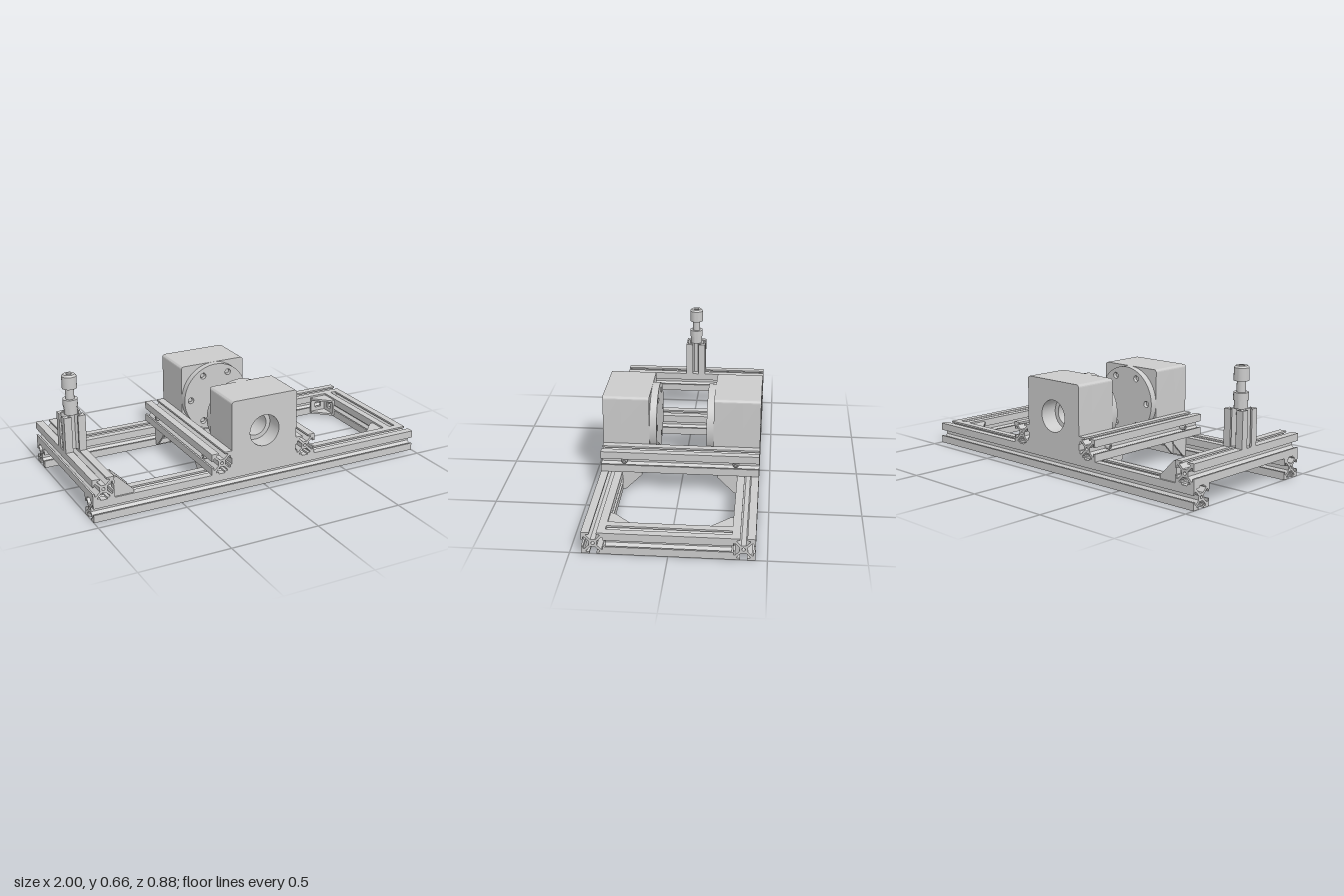
import * as THREE from 'three';
import { toCreasedNormals } from 'three/addons/utils/BufferGeometryUtils.js';

const grey = new THREE.MeshStandardMaterial({ color: 0xcccccc });

function add(parent, name, geometry, x = 0, y = 0, z = 0) {
  const mesh = new THREE.Mesh(geometry, grey);
  mesh.name = name;
  mesh.position.set(x, y, z);
  parent.add(mesh);
  return mesh;
}

function extrude(shape, depth, curveSegments = 20) {
  const g = new THREE.ExtrudeGeometry(shape, { depth, bevelEnabled: false, curveSegments });
  return toCreasedNormals(g, 0.5);
}

function circle(r, x = 0, y = 0) {
  return new THREE.Path().absarc(x, y, r, 0, Math.PI * 2, true);
}

function lathe(points, segments = 32) {
  const g = new THREE.LatheGeometry(points.map(p => new THREE.Vector2(...p)), segments);
  return toCreasedNormals(g, 0.5);
}

// T-slot section: one slotted side, repeated four times around the centre
function slotSection() {
  const half = [[0.06, 0.018], [0.05, 0.018], [0.05, 0.034], [0.043, 0.034], [0.021, 0.012]];
  const side = [[0.06, -0.06], ...half.map(([x, y]) => [x, -y]), ...half.reverse()];
  const points = [];
  for (let i = 0; i < 4; i++) {
    const c = Math.round(Math.cos(i * Math.PI / 2)), s = Math.round(Math.sin(i * Math.PI / 2));
    for (const [x, y] of side) points.push(new THREE.Vector2(c * x - s * y, s * x + c * y));
  }
  const shape = new THREE.Shape(points);
  shape.holes.push(circle(0.009));
  return shape;
}

// Slotted bar centred on its own length, along the given axis
function bar(parent, name, length, axis, x, y, z) {
  const g = extrude(slotSection(), length, 8).translate(0, 0, -length / 2);
  if (axis === 'x') g.rotateY(Math.PI / 2);
  if (axis === 'y') g.rotateX(Math.PI / 2);
  return add(parent, name, g, x, y, z);
}

// Corner bracket: two slotted legs along a and b joined by two gussets
function bracket(parent, corner, a, b) {
  const group = new THREE.Group();
  group.name = 'cornerBracket';
  const leg = 0.11, width = 0.1, t = 0.012;
  const gusset = new THREE.Shape([[0, 0], [leg, 0], [leg, 0.018], [0.018, leg], [0, leg]]
    .map(p => new THREE.Vector2(...p)));
  for (const z of [-width / 2, width / 2 - t]) add(group, 'gusset', extrude(gusset, t), 0, 0, z);

  const plate = new THREE.Shape([[0, -width / 2], [leg, -width / 2], [leg, width / 2], [0, width / 2]]
    .map(p => new THREE.Vector2(...p)));
  plate.holes.push(new THREE.Path([[0.04, -0.016], [0.04, 0.016], [0.08, 0.016], [0.08, -0.016]]
    .map(p => new THREE.Vector2(...p))));
  add(group, 'bracketLeg', extrude(plate, t).rotateX(-Math.PI / 2));
  const upright = extrude(plate, t).rotateX(Math.PI / 2).rotateZ(Math.PI / 2);
  add(group, 'bracketLeg', upright);

  const A = new THREE.Vector3(...a), B = new THREE.Vector3(...b);
  const basis = new THREE.Matrix4().makeBasis(A, B, A.clone().cross(B));
  group.quaternion.setFromRotationMatrix(basis);
  group.position.set(...corner);
  parent.add(group);
}

// Block with stepped bore on the outside (+z) and a bolted flange on the inside
function bearingBlock() {
  const group = new THREE.Group();
  group.name = 'bearingBlock';
  const outline = bore => {
    const w = 0.2, r = 0.016;
    const s = new THREE.Shape();
    s.moveTo(-w, -w);
    s.lineTo(w, -w);
    s.lineTo(w, w - r);
    s.absarc(w - r, w - r, r, 0, Math.PI / 2, false);
    s.lineTo(-w + r, w);
    s.absarc(-w + r, w - r, r, Math.PI / 2, Math.PI, false);
    s.closePath();
    s.holes.push(circle(bore));
    return s;
  };
  add(group, 'outerHousing', extrude(outline(0.09), 0.1), 0, 0.32, 0.34);
  add(group, 'innerHousing', extrude(outline(0.065), 0.16), 0, 0.32, 0.18);

  const flange = new THREE.Shape().absarc(0, 0, 0.2, 0, Math.PI * 2, false);
  for (let i = 0; i < 6; i++) {
    const x = 0.16 * Math.cos(i * Math.PI / 3), y = 0.16 * Math.sin(i * Math.PI / 3);
    flange.holes.push(circle(0.018, x, y));
    const screw = new THREE.CylinderGeometry(0.013, 0.013, 0.025, 16).rotateX(Math.PI / 2);
    add(group, 'flangeScrew', screw, x, 0.32 + y, 0.168);
  }
  add(group, 'flange', extrude(flange, 0.04, 32), 0, 0.32, 0.14);
  return group;
}

export function createModel() {
  const model = new THREE.Group();
  model.name = 'testFrame';

  // Base frame
  for (const s of [-1, 1]) bar(model, 'longRail', 2, 'x', 0, 0.06, s * 0.38);
  bar(model, 'lowerEndBeam', 0.64, 'z', 0.94, 0.06, 0);
  bar(model, 'upperEndBeam', 0.88, 'z', -0.94, 0.18, 0);
  for (const s of [-1, 1]) bar(model, 'middleBeam', 0.88, 'z', s * 0.26, 0.18, 0);

  // Corner brackets
  for (const s of [-1, 1]) {
    bracket(model, [-0.88, 0.12, s * 0.38], [1, 0, 0], [0, 1, 0]);
    bracket(model, [0.88, 0.06, s * 0.32], [-1, 0, 0], [0, 0, -s]);
    for (const x of [-0.26, 0.26]) bracket(model, [x, 0.12, s * 0.32], [0, -1, 0], [0, 0, -s]);
  }

  // Facing bearing blocks
  for (const turn of [0, Math.PI]) {
    const block = bearingBlock();
    block.rotation.y = turn;
    model.add(block);
  }

  // Button-head screws in the outer slots of the middle beams
  for (const sx of [-1, 1]) for (const sz of [-1, 1]) {
    const head = lathe([[0, 0], [0.017, 0], [0.017, 0.02], [0.012, 0.028], [0.007, 0.03], [0.007, 0.02], [0, 0.02]], 20);
    add(model, 'blockScrew', head.rotateZ(-sx * Math.PI / 2), sx * 0.284, 0.18, sz * 0.31);
  }

  // Plunger post
  bar(model, 'post', 0.2, 'y', -0.94, 0.34, 0);
  add(model, 'plungerSleeve', lathe([[0, 0], [0.036, 0], [0.036, 0.043], [0.04, 0.043],
    [0.04, 0.085], [0, 0.085]]), -0.94, 0.44, 0);
  add(model, 'plungerNeck', new THREE.CylinderGeometry(0.0235, 0.0235, 0.07, 32), -0.94, 0.555, 0);
  add(model, 'plungerKnob', lathe([[0, 0], [0.04, 0], [0.04, 0.068], [0.031, 0.078],
    [0.015, 0.078], [0.015, 0.06], [0, 0.06]]), -0.94, 0.585, 0);
  return model;
}
